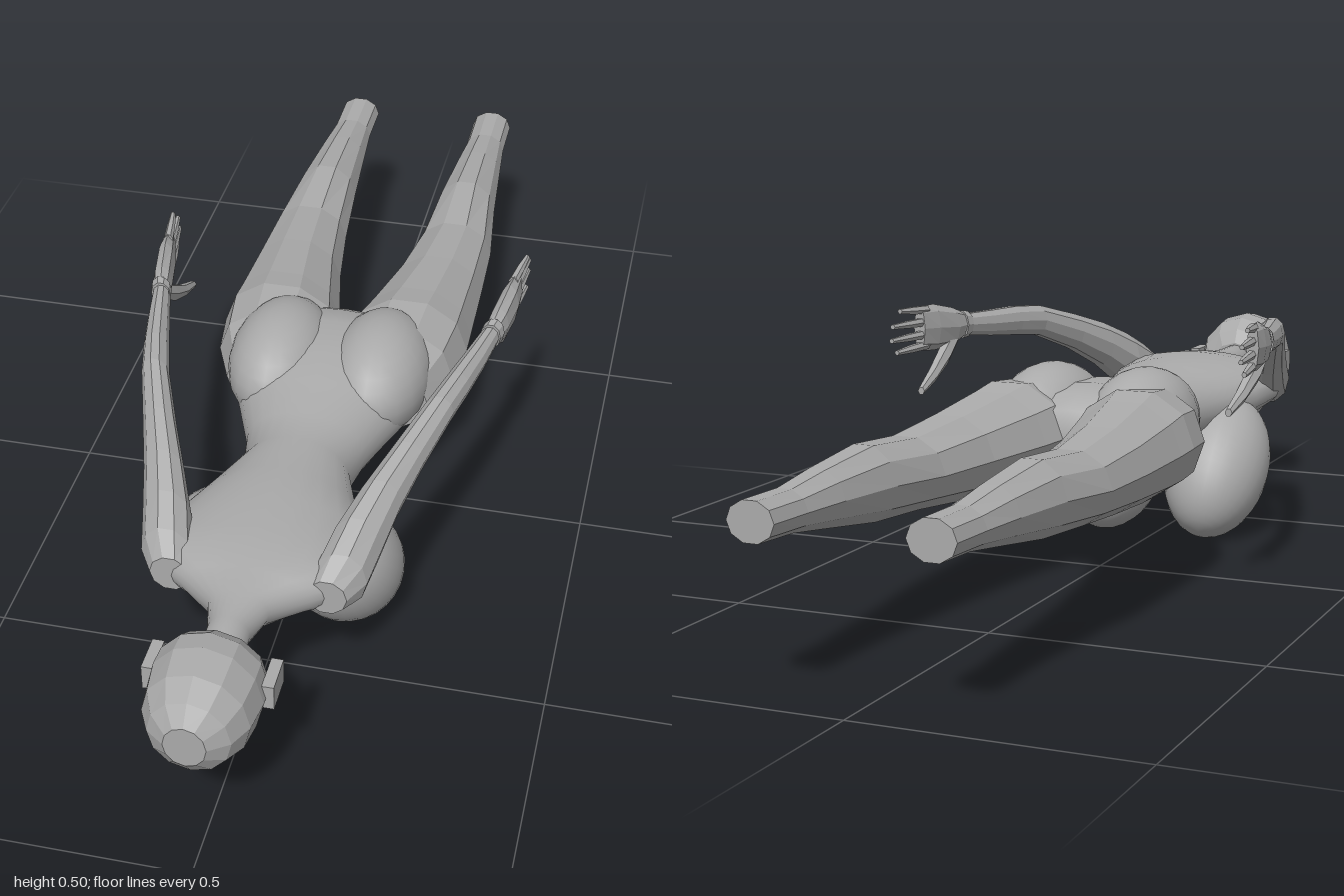
import * as THREE from 'three';

// Closed skin over elliptical rings [z, centreX, halfWidth, yBottom, yTop], listed from high z to low z
function loft(rings, sides, flat, mirror = 1) {
  const pos = [], idx = [], n = rings.length;
  for (const [z, cx, hw, y0, y1] of rings) {
    for (let j = 0; j < sides; j++) {
      const a = (j / sides) * Math.PI * 2;
      pos.push(mirror * cx + hw * Math.cos(a), (y0 + y1) / 2 + ((y1 - y0) / 2) * Math.sin(a), z);
    }
  }
  for (const [z, cx, , y0, y1] of [rings[0], rings[n - 1]]) pos.push(mirror * cx, (y0 + y1) / 2, z);
  const first = n * sides, last = first + 1;
  for (let j = 0; j < sides; j++) {
    const k = (j + 1) % sides, e = (n - 1) * sides;
    for (let i = 0; i < n - 1; i++) {
      const a = i * sides + j, b = i * sides + k, c = a + sides, d = b + sides;
      idx.push(a, c, b, b, c, d);
    }
    idx.push(first, j, k, last, e + k, e + j);
  }
  let g = new THREE.BufferGeometry();
  g.setAttribute('position', new THREE.Float32BufferAttribute(pos, 3));
  g.setIndex(idx);
  if (flat) g = g.toNonIndexed();
  g.computeVertexNormals();
  return g;
}

export function createModel() {
  const model = new THREE.Group();
  model.name = 'mannequin';
  const grey = new THREE.MeshStandardMaterial({ color: 0xaaaaaa });
  grey.name = 'plain grey';
  const add = (name, geometry) => {
    const mesh = new THREE.Mesh(geometry, grey);
    mesh.name = name;
    model.add(mesh);
    return mesh;
  };

  // Skull and tapering face
  add('skull', loft([
    [1.0, 0, 0.035, 0.25, 0.33], [0.975, 0, 0.068, 0.215, 0.36], [0.935, 0, 0.088, 0.195, 0.38],
    [0.88, 0, 0.095, 0.185, 0.388], [0.84, 0, 0.094, 0.185, 0.382], [0.81, 0, 0.084, 0.19, 0.36],
    [0.795, 0, 0.06, 0.2, 0.33],
  ], 12, true));
  add('face', loft([
    [0.91, 0, 0.06, 0.19, 0.28], [0.86, 0, 0.075, 0.165, 0.28], [0.81, 0, 0.068, 0.145, 0.27],
    [0.77, 0, 0.045, 0.155, 0.235], [0.745, 0, 0.02, 0.175, 0.205],
  ], 8, true));

  // Neck, shoulders, waist and pelvis
  add('torso', loft([
    [0.84, 0, 0.036, 0.25, 0.325], [0.74, 0, 0.036, 0.25, 0.325], [0.68, 0, 0.052, 0.24, 0.327],
    [0.63, 0, 0.115, 0.23, 0.335], [0.595, 0, 0.175, 0.225, 0.34], [0.54, 0, 0.188, 0.21, 0.345],
    [0.45, 0, 0.168, 0.19, 0.345], [0.37, 0, 0.135, 0.175, 0.342], [0.27, 0, 0.1, 0.165, 0.332],
    [0.2, 0, 0.112, 0.162, 0.335], [0.12, 0, 0.145, 0.165, 0.352], [0.04, 0, 0.178, 0.165, 0.365],
    [-0.05, 0, 0.208, 0.167, 0.368], [-0.11, 0, 0.218, 0.175, 0.355], [-0.15, 0, 0.15, 0.195, 0.33],
  ], 24, false));

  for (const s of [1, -1]) {
    const side = s > 0 ? 'left' : 'right';

    const ear = add(side + 'Ear', new THREE.BoxGeometry(0.02, 0.046, 0.065));
    ear.position.set(s * 0.098, 0.288, 0.835);

    // Chest form, hanging down and back from the ribs
    const chest = add(side + 'Breast', new THREE.SphereGeometry(1, 28, 20));
    chest.scale.set(0.106, 0.163, 0.108);
    chest.position.set(s * 0.112, 0.138, 0.362);
    chest.rotation.x = Math.PI / 4;

    const hip = add(side + 'Buttock', new THREE.SphereGeometry(1, 20, 14));
    hip.scale.set(0.1, 0.105, 0.155);
    hip.position.set(s * 0.095, 0.291, -0.015);

    // Leg ending in a flat cut
    add(side + 'Leg', loft([
      [0.03, 0.115, 0.08, 0.19, 0.34], [-0.05, 0.122, 0.108, 0.172, 0.37],
      [-0.14, 0.126, 0.116, 0.172, 0.378], [-0.2, 0.132, 0.108, 0.175, 0.368],
      [-0.35, 0.146, 0.09, 0.188, 0.348], [-0.5, 0.154, 0.077, 0.202, 0.335],
      [-0.65, 0.152, 0.062, 0.212, 0.348], [-0.8, 0.152, 0.05, 0.235, 0.335],
      [-0.9, 0.152, 0.042, 0.25, 0.323], [-1.0, 0.152, 0.042, 0.255, 0.325],
    ], 10, true, s));

    // Arm raised behind the back
    add(side + 'Arm', loft([
      [0.62, 0.135, 0.035, 0.25, 0.32], [0.58, 0.15, 0.046, 0.238, 0.35],
      [0.52, 0.166, 0.044, 0.268, 0.382], [0.45, 0.19, 0.037, 0.318, 0.412],
      [0.37, 0.22, 0.031, 0.362, 0.438], [0.27, 0.256, 0.026, 0.402, 0.466],
      [0.2, 0.275, 0.024, 0.41, 0.471], [0.12, 0.294, 0.021, 0.418, 0.471],
      [0.03, 0.314, 0.016, 0.43, 0.472],
    ], 10, true, s));

    // Hand with wrist band, four fingers and thumb
    add(side + 'Wrist', loft([
      [0.052, 0.31, 0.019, 0.424, 0.477], [0.035, 0.314, 0.02, 0.422, 0.48],
    ], 10, true, s));
    add(side + 'Palm', loft([
      [0.045, 0.312, 0.016, 0.428, 0.474], [0.01, 0.319, 0.019, 0.412, 0.487],
      [-0.05, 0.329, 0.018, 0.41, 0.5], [-0.095, 0.335, 0.012, 0.415, 0.5],
    ], 8, true, s));
    [[0.492, 0.497, -0.155], [0.469, 0.471, -0.185], [0.445, 0.445, -0.19], [0.424, 0.42, -0.17]]
      .forEach(([y0, y1, tip], i) => {
        const mid = (tip - 0.08) / 2;
        add(side + 'Finger' + (i + 1), loft([
          [-0.075, 0.331, 0.009, y0 - 0.009, y0 + 0.009],
          [mid, 0.338, 0.008, (y0 + y1) / 2 - 0.008, (y0 + y1) / 2 + 0.008],
          [tip, 0.345, 0.005, y1 - 0.005, y1 + 0.005],
        ], 6, true, s));
      });
    add(side + 'Thumb', loft([
      [0.02, 0.318, 0.012, 0.415, 0.45], [-0.03, 0.316, 0.015, 0.38, 0.42],
      [-0.09, 0.312, 0.012, 0.354, 0.381], [-0.145, 0.308, 0.007, 0.338, 0.354],
    ], 6, true, s));
  }
  return model;
}
